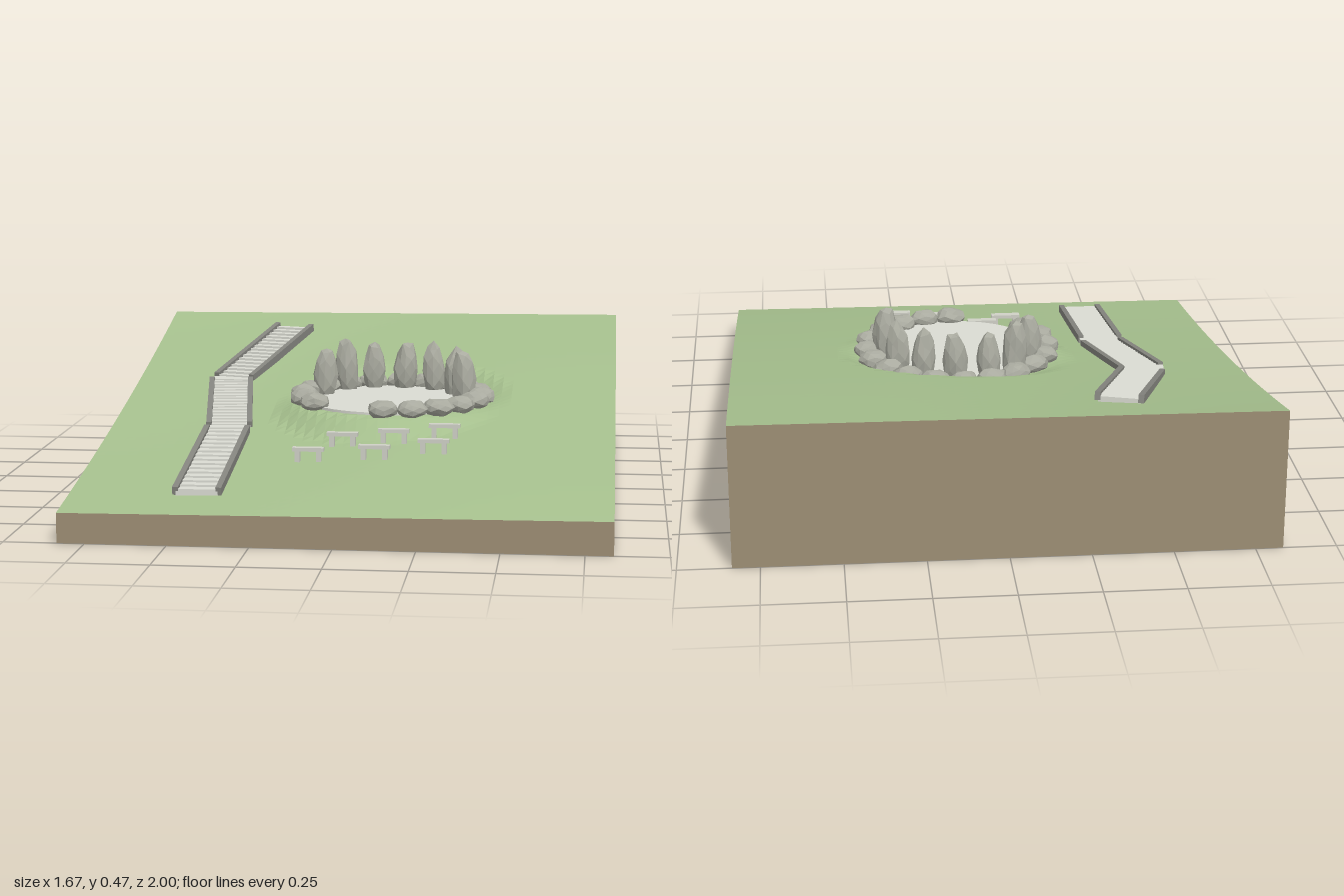
import * as THREE from 'three';

const mat = (name, color, flatShading = false) => {
  const m = new THREE.MeshStandardMaterial({ color, flatShading });
  m.name = name;
  return m;
};

const CX = 0.085, FLOOR = 0.285; // stone circle centre and floor height

// Hillside: bulges on the +x side, sags on the -x side
const slope = (x, z) => {
  const t = (1 - z) / 2;
  return 0.098 + 0.357 * t + 0.1 * Math.tanh((x + 0.08) * 3) * t * (1 - t) + 0.006 * x;
};

// Hillside with the level terrace cut in
const ground = (x, z) => {
  const k = THREE.MathUtils.smoothstep(Math.hypot(x - CX, z), 0.3, 0.41);
  return THREE.MathUtils.lerp(FLOOR, slope(x, z), k);
};

// Small seeded noise
const noise = (a, b, c, d) => {
  const s = Math.sin(a * 12.99 + b * 78.23 + c * 37.72 + d * 9.13) * 43758.55;
  return s - Math.floor(s);
};

export function createModel() {
  const root = new THREE.Group();
  const grass = mat('grass', 0xa5bf8d, true);
  const earth = mat('earth', 0x9d8e74, true);
  const paving = mat('pale paving', 0xdadbd2);
  const rail = mat('dark stone', 0x85857f);
  const rock = mat('grey rock', 0xa9aa9f, true);
  const bench = mat('bench stone', 0xcfd0c6);

  const add = (parent, name, geo, material, x = 0, y = 0, z = 0) => {
    const m = new THREE.Mesh(geo, material);
    m.name = name;
    m.position.set(x, y, z);
    parent.add(m);
    return m;
  };
  const box = (w, h, d) => new THREE.BoxGeometry(w, h, d);

  // Hill block: the upper face follows the ground rule
  const hill = new THREE.BoxGeometry(1.67, 1, 2, 48, 1, 56);
  const hp = hill.attributes.position;
  for (let i = 0; i < hp.count; i++) {
    hp.setY(i, hp.getY(i) > 0 ? ground(hp.getX(i), hp.getZ(i)) : 0);
  }
  hill.computeVertexNormals();
  add(root, 'hillside', hill, [earth, earth, grass, earth, earth, earth]);

  // Round paved floor
  add(root, 'circleFloor', new THREE.CylinderGeometry(0.29, 0.29, 0.012, 48), paving, CX, FLOOR + 0.002, 0);

  // Irregular boulder; taper narrows it towards the top
  const boulder = (w, h, d, seed, taper) => {
    const geo = new THREE.IcosahedronGeometry(1, 1);
    const p = geo.attributes.position;
    for (let i = 0; i < p.count; i++) {
      const [x, y, z] = [p.getX(i), p.getY(i), p.getZ(i)].map((v) => Math.round(v * 1000) / 1000 + 0);
      const r = 0.9 + 0.2 * noise(x, y, z, seed);
      const s = r * (1 - taper * y);
      p.setXYZ(i, x * s * w / 2, y * r * h / 2, z * s * d / 2);
    }
    geo.computeVertexNormals();
    return geo;
  };

  // Low ring of boulders with an entrance gap at the front left
  const ring = new THREE.Group();
  ring.name = 'boulderRing';
  root.add(ring);
  for (let i = 0; i < 20; i++) {
    if (i === 13 || i === 14) continue;
    const a = i * Math.PI / 10;
    const m = add(ring, 'boulder', boulder(0.102, 0.062, 0.074, i + 1, 0.05), rock,
      CX + 0.298 * Math.cos(a), FLOOR + 0.022, -0.305 * Math.sin(a));
    m.rotation.y = (noise(i, 1, 2, 3) - 0.5) * 0.6;
  }

  // Standing stones around the uphill half
  const standing = new THREE.Group();
  standing.name = 'standingStones';
  root.add(standing);
  [[0.325, -0.01, 0.465], [0.29, -0.13, 0.45], [0.21, -0.22, 0.452], [0.11, -0.255, 0.458],
    [0, -0.25, 0.45], [-0.09, -0.2, 0.47], [-0.15, -0.09, 0.457]].forEach(([x, z, top], i) => {
    const h = top - FLOOR + 0.025;
    const m = add(standing, 'standingStone', boulder(0.082, h, 0.07, i + 31, 0.08), rock, x, top - h / 2, z);
    m.rotation.z = (noise(i, 5, 6, 7) - 0.5) * 0.1;
  });

  // Benches: a slab on two legs
  [[-0.13, 0.54, 0.222], [0.08, 0.54, 0.234], [0.265, 0.515, 0.252],
    [-0.035, 0.415, 0.25], [0.13, 0.415, 0.264], [0.29, 0.375, 0.276]].forEach(([x, z, top]) => {
    const g = new THREE.Group();
    g.name = 'bench';
    g.position.set(x, top, z);
    root.add(g);
    add(g, 'seat', box(0.1, 0.012, 0.026), bench, 0, -0.006, 0);
    for (const s of [-1, 1]) add(g, 'leg', box(0.016, 0.036, 0.02), bench, s * 0.034, -0.029, 0);
  });

  // Straight stair flight between two points, with a kerb on each side
  const flight = ([x0, y0, z0], [x1, y1, z1], n) => {
    const len = Math.hypot(x1 - x0, z1 - z0);
    const g = new THREE.Group();
    g.name = 'stairFlight';
    g.position.set(x0, 0, z0);
    g.rotation.y = Math.atan2(x1 - x0, z1 - z0);
    root.add(g);
    for (let i = 0; i < n; i++) {
      const t = (i + 0.5) / n;
      add(g, 'step', box(0.13, 0.024, len / n), paving, 0, y0 + (y1 - y0) * t - 0.012, t * len);
    }
    for (const s of [-1, 1]) {
      const k = add(g, 'kerb', box(0.018, 0.026, Math.hypot(len, y1 - y0)), rail, s * 0.067, (y0 + y1) / 2 - 0.003, len / 2);
      k.rotation.x = -Math.atan2(y1 - y0, len);
    }
  };
  flight([-0.436, 0.136, 0.83], [-0.436, 0.228, 0.25], 15);
  flight([-0.436, 0.231, 0.21], [-0.503, 0.311, -0.25], 16);
  flight([-0.5, 0.315, -0.29], [-0.352, 0.43, -0.795], 16);

  // Landings at the bends
  for (const [x, y, z, turn] of [[-0.436, 0.23, 0.228, 0.07], [-0.504, 0.313, -0.268, -0.07]]) {
    const m = add(root, 'landing', box(0.142, 0.024, 0.065), paving, x, y - 0.012, z);
    m.rotation.y = turn;
  }
  return root;
}
